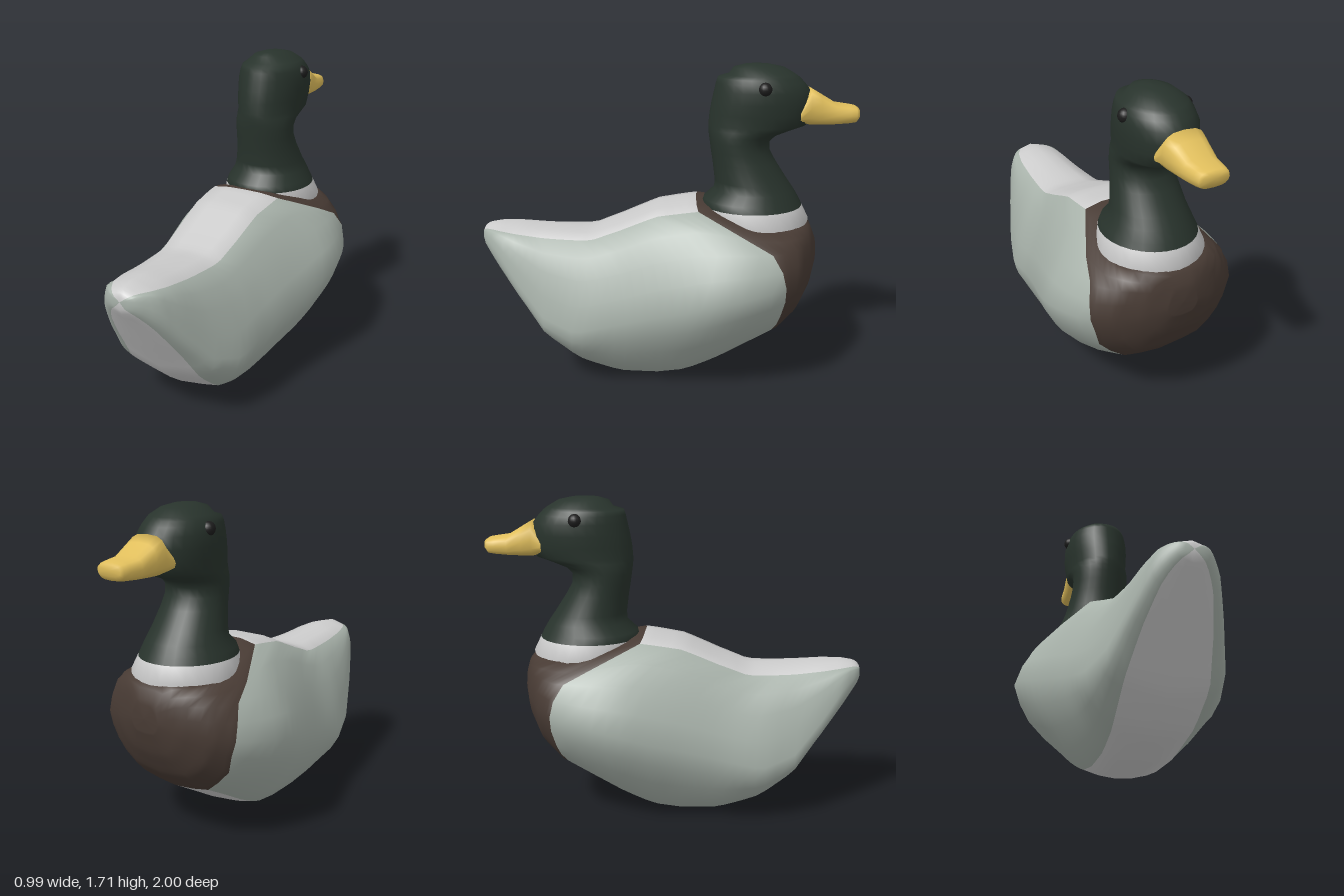
import * as THREE from 'three';

const V = (x, y, z) => new THREE.Vector3(x, y, z);
const { lerp, clamp, smoothstep } = THREE.MathUtils;

// Skin a list of closed rings; keep(ring, column) picks the quads of one part,
// while normals come from the whole skin so that neighbouring parts blend.
function skin(name, color, rings, keep = () => true) {
  const n = rings[0].length, all = [], part = [];
  for (let r = 0; r < rings.length - 1; r++) {
    for (let c = 0; c < n; c++) {
      const a = r * n + c, b = r * n + (c + 1) % n;
      const quad = [a, b, a + n, b, b + n, a + n];
      all.push(...quad);
      if (keep(r, c)) part.push(...quad);
    }
  }
  const geo = new THREE.BufferGeometry().setFromPoints(rings.flat());
  geo.setIndex(all);
  geo.computeVertexNormals();
  geo.setIndex(part);
  const mesh = new THREE.Mesh(geo, new THREE.MeshStandardMaterial({ color }));
  mesh.name = name;
  return mesh;
}

// Linear lookup in a table whose first column falls
function sample(table, z) {
  let i = 0;
  while (i < table.length - 2 && z < table[i + 1][0]) i++;
  const a = table[i], b = table[i + 1];
  const t = clamp((z - a[0]) / (b[0] - a[0]), 0, 1);
  return a.map((v, k) => lerp(v, b[k], t));
}

// Body stations: z, top y, top strip half width, flank y, flank x, bottom y, bottom strip half width
const BODY = [
  [1, 0.815, 0.03, 0.785, 0.045, 0.745, 0.03],
  [0.985, 0.838, 0.055, 0.78, 0.085, 0.715, 0.06],
  [0.95, 0.85, 0.08, 0.765, 0.125, 0.665, 0.095],
  [0.9, 0.857, 0.11, 0.72, 0.17, 0.59, 0.13],
  [0.8, 0.856, 0.135, 0.58, 0.225, 0.44, 0.17],
  [0.65, 0.84, 0.15, 0.4, 0.295, 0.22, 0.21],
  [0.48, 0.825, 0.165, 0.34, 0.352, 0.09, 0.2],
  [0.4, 0.82, 0.17, 0.36, 0.362, 0.06, 0.19],
  [0.25, 0.87, 0.18, 0.4, 0.377, 0.015, 0.18],
  [0.05, 0.955, 0.19, 0.46, 0.42, 0, 0.17],
  [-0.1, 0.98, 0.2, 0.5, 0.46, 0.015, 0.17],
  [-0.18, 0.99, 0.2, 0.53, 0.48, 0.05, 0.18],
  [-0.28, 0.965, 0.22, 0.56, 0.5, 0.1, 0.19],
  [-0.43, 0.92, 0.25, 0.59, 0.485, 0.19, 0.2],
  [-0.6, 0.895, 0.25, 0.62, 0.43, 0.29, 0.2],
  [-0.7, 0.89, 0.2, 0.65, 0.335, 0.39, 0.17],
  [-0.77, 0.87, 0.11, 0.68, 0.2, 0.52, 0.11],
  [-0.805, 0.78, 0.04, 0.7, 0.08, 0.64, 0.05],
];
// Where the breast begins, from the back down to the belly
const BREAST_Z = [-0.16, -0.16, -0.17, -0.42, -0.55, -0.6, -0.62, -0.62, -0.6, -0.59, -0.57, -0.57, -0.57];
const BACK_RINGS = 30, BREAST_RINGS = 14;

// Point i (0 top to 12 bottom) of the half section at z
function bodyPoint(z, i) {
  const [, yT, xT, yM, xM, yB, xB] = sample(BODY, z);
  const s = xM / 0.5;
  const tail = smoothstep(z, 0.2, 0.7);
  const edgeTop = yT - lerp(0.02 * s, Math.min(0.04, 0.09 * s), tail);
  const edgeBottom = yB + lerp(0.035 * s, Math.min(0.05, 0.1 * s), tail);
  const breast = 1 - smoothstep(z, -0.45, -0.2);
  const curve = new THREE.CatmullRomCurve3([
    V(0, yT, z),
    V(xT, edgeTop, z),
    V((xT + xM) / 2 + 0.03 * s, (edgeTop + yM) / 2 + (0.035 + 0.015 * breast + 0.04 * tail) * s, z),
    V(xM, yM, z),
    V((xB + xM) / 2 + 0.045 * s, (edgeBottom + yM) / 2 - 0.025 * s, z),
    V(xB, edgeBottom, z),
    V(0, yB, z),
  ], false, 'catmullrom', 0.35);
  return curve.getPoint(i / 12);
}

function bodyRings() {
  const ring = (zOf) => {
    const half = BREAST_Z.map((zb, i) => bodyPoint(zOf(zb), i));
    const mirrored = half.slice(1, -1).reverse().map((p) => V(-p.x, p.y, p.z));
    return [...half, ...mirrored];
  };
  const point = (y, z) => Array.from({ length: 24 }, () => V(0, y, z));
  const rings = [point(0.785, 1)];
  for (let k = 0; k <= BACK_RINGS; k++) {
    const t = Math.pow(k / BACK_RINGS, 1.4);
    rings.push(ring((zb) => lerp(1, zb, t)));
  }
  for (let k = 1; k <= BREAST_RINGS; k++) {
    const t = 1 - Math.pow(1 - k / BREAST_RINGS, 1.6);
    rings.push(ring((zb) => lerp(zb, -0.805, t)));
  }
  rings.push(point(0.71, -0.808));
  return rings;
}

// Neck and head stations: y, back z, front z, half width
const NECK = [
  [0.78, -0.22, -0.74, 0.26],
  [0.89, -0.2, -0.765, 0.272],
  [0.965, -0.19, -0.727, 0.245],
  [1.0, -0.2, -0.71, 0.23],
  [1.05, -0.255, -0.68, 0.205],
  [1.1, -0.258, -0.645, 0.188],
  [1.2, -0.245, -0.58, 0.168],
  [1.26, -0.235, -0.547, 0.162],
  [1.31, -0.228, -0.545, 0.162],
  [1.345, -0.223, -0.58, 0.164],
  [1.375, -0.22, -0.66, 0.168],
  [1.4, -0.22, -0.735, 0.171],
  [1.46, -0.225, -0.755, 0.178],
  [1.52, -0.235, -0.76, 0.184],
  [1.58, -0.248, -0.748, 0.183],
  [1.62, -0.257, -0.715, 0.173],
  [1.645, -0.265, -0.69, 0.16],
  [1.66, -0.32, -0.67, 0.145],
  [1.695, -0.345, -0.61, 0.1],
  [1.71, -0.4, -0.54, 0.05],
  [1.714, -0.46, -0.46, 0],
];
const neckRings = () => NECK.map(([y, zB, zF, w]) =>
  Array.from({ length: 28 }, (_, i) => {
    const a = (i / 28) * Math.PI * 2;
    return V(w * Math.cos(a), y, (zB + zF) / 2 - ((zB - zF) / 2) * Math.sin(a));
  }));

// Beak stations: z, top y, bottom y, half width
const BEAK = [
  [-0.69, 1.5, 1.42, 0.122],
  [-0.745, 1.592, 1.4, 0.115],
  [-0.8, 1.56, 1.4, 0.106],
  [-0.88, 1.512, 1.403, 0.095],
  [-0.95, 1.502, 1.408, 0.088],
  [-0.985, 1.496, 1.413, 0.08],
  [-1, 1.487, 1.435, 0.07],
  [-1, 1.461, 1.461, 0],
];
const beakRings = () => BEAK.map(([z, yT, yB, w]) =>
  Array.from({ length: 16 }, (_, i) => {
    const a = (i / 16) * Math.PI * 2;
    const round = (v) => Math.sign(v) * Math.pow(Math.abs(v), 0.7);
    return V(w * round(Math.sin(a)), (yT + yB) / 2 + ((yT - yB) / 2) * round(Math.cos(a)), z);
  }));

export function createModel() {
  const group = new THREE.Group();
  group.name = 'duck';

  // Body: pale strip over back and belly, grey flanks, brown breast
  const body = bodyRings();
  const isBack = (r) => r <= BACK_RINGS;
  const isFlank = (c) => (c >= 2 && c < 10) || (c >= 14 && c < 22);
  group.add(skin('backAndBelly', 0xcccccc, body, (r, c) => isBack(r) && !isFlank(c)));
  group.add(skin('flanks', 0xa8b2aa, body, (r, c) => isBack(r) && isFlank(c)));
  group.add(skin('breast', 0x483b34, body, (r) => !isBack(r)));

  // Neck with white collar, and head
  const neck = neckRings();
  group.add(skin('collar', 0xf4f4f4, neck, (r) => r < 2));
  group.add(skin('neckAndHead', 0x28332c, neck, (r) => r >= 2));

  group.add(skin('beak', 0xe0be5c, beakRings()));

  // Eyes
  for (const side of [1, -1]) {
    const eye = new THREE.Mesh(
      new THREE.SphereGeometry(0.036, 16, 12),
      new THREE.MeshStandardMaterial({ color: 0x1c1c1c }));
    eye.position.set(side * 0.163, 1.602, -0.5);
    eye.name = side > 0 ? 'leftEye' : 'rightEye';
    group.add(eye);
  }
  return group;
}
